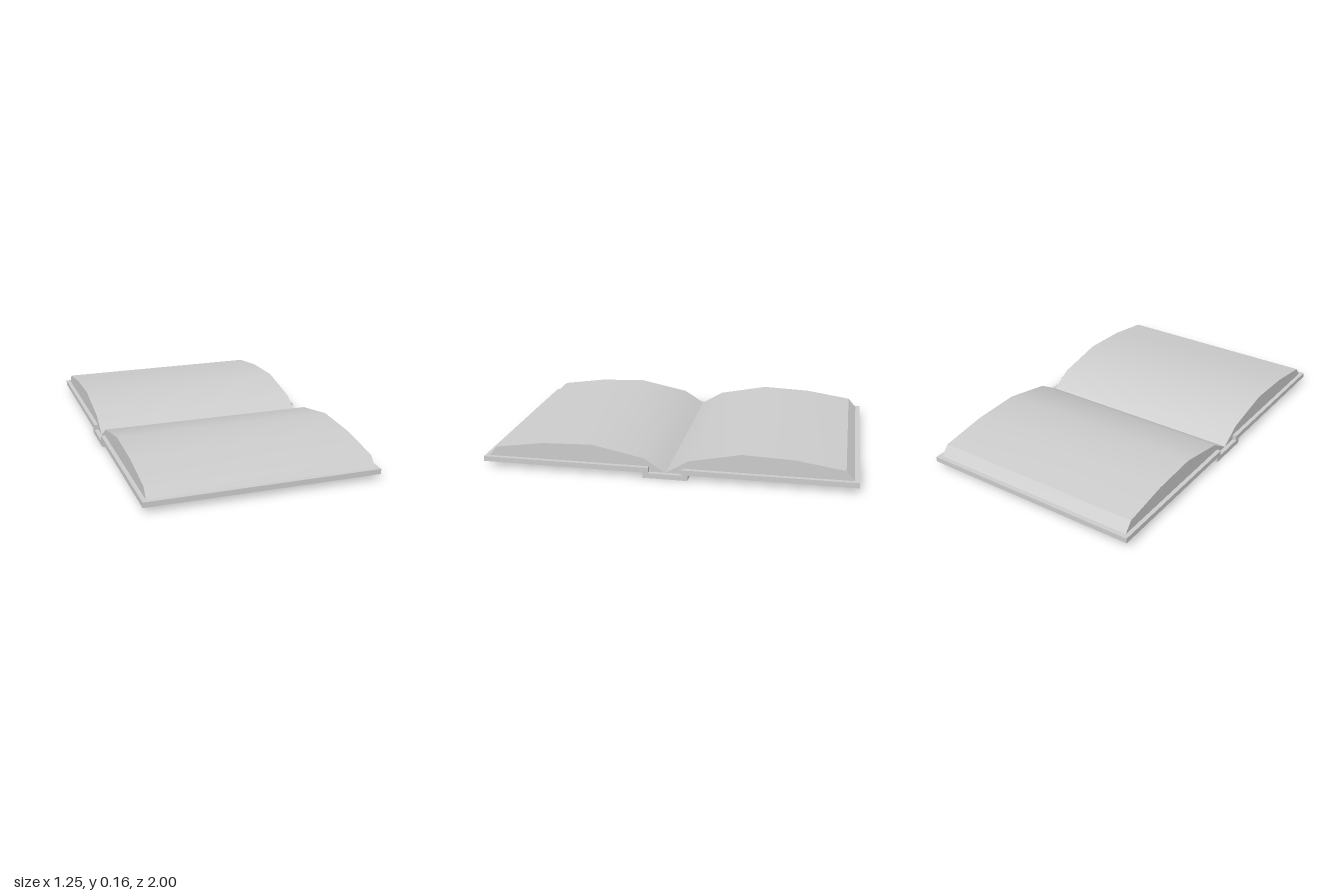
import * as THREE from 'three';
import { toCreasedNormals } from 'three/addons/utils/BufferGeometryUtils.js';

// Extrude a (z, y) profile along x, centred on x = 0
function extrudeAlongX(profile, width) {
  const shape = new THREE.Shape(profile.map(([z, y]) => new THREE.Vector2(z, y)));
  const geo = new THREE.ExtrudeGeometry(shape, { depth: width, bevelEnabled: false });
  geo.translate(0, 0, -width / 2);
  geo.rotateY(-Math.PI / 2);
  return toCreasedNormals(geo, 0.6);
}

export function createModel() {
  const group = new THREE.Group();
  group.name = 'openBook';
  const material = new THREE.MeshStandardMaterial({ color: 0xcccccc });
  const add = (name, geo) => {
    const mesh = new THREE.Mesh(geo, material);
    mesh.name = name;
    group.add(mesh);
    return mesh;
  };

  // Cover: two boards joined by a lower spine, as one stepped profile
  const half = [[0.12, 0], [0.12, 0.03], [1, 0.03], [1, 0.058], [0.09, 0.058], [0.09, 0.028]];
  const mirrored = half.map(([z, y]) => [-z, y]).reverse();
  add('cover', extrudeAlongX([...half, ...mirrored], 1.245));

  // Page blocks: arched top, sloped fore edge, meeting in the gutter
  const pages = [
    [0, 0.028], [0.09, 0.028], [0.09, 0.058], [0.975, 0.058],
    [0.93, 0.11], [0.67, 0.148], [0.4, 0.158], [0.12, 0.102],
  ];
  const pageGeo = extrudeAlongX(pages, 1.2);
  add('frontPages', pageGeo);
  add('backPages', pageGeo).rotation.y = Math.PI;

  return group;
}
